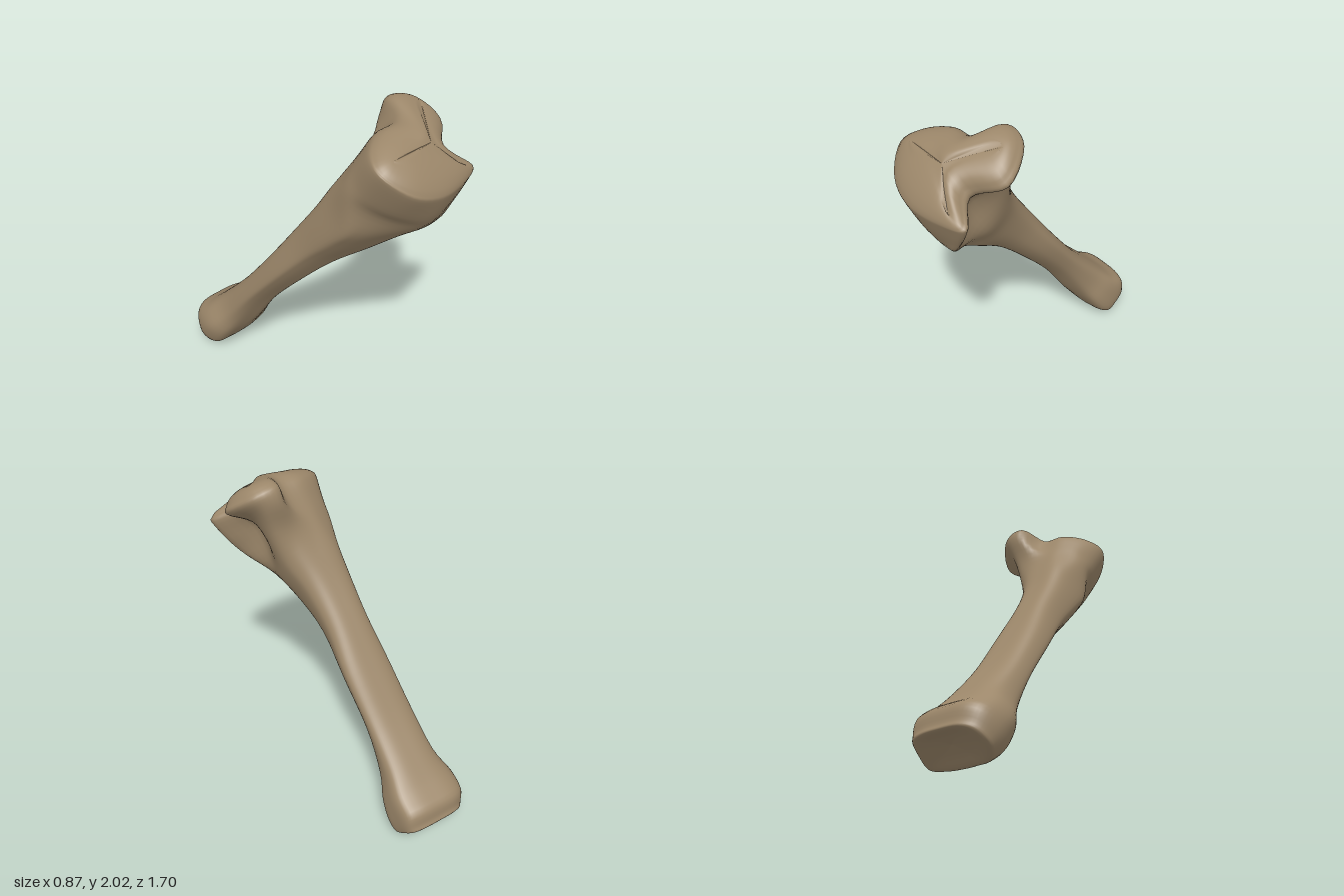
import * as THREE from 'three';

// Local frame of the leaning bone: s runs along the shaft, t from back to front
const toWorld = (x, t, s) => new THREE.Vector3(x, 0.77 * s - 0.64 * t, 0.64 * s + 0.77 * t);
const mix = THREE.MathUtils.lerp;

// Twelve-point shaft section: left, right, front and back limits, x of the front crest,
// and q from a wedge (0) to a box (1)
function shaftSection([s, L, R, F, B, c, q]) {
  const h = F - B, m = (F + B) / 2;
  return [
    [mix(c, R, 0.45), F - mix(0.13, 0.02, q) * h], [c, F],
    [mix(c, L, 0.35), F - mix(0.08, 0.01, q) * h],
    [mix(c, L, 0.8), F - mix(0.25, 0.07, q) * h],
    [L, m + 0.08 * h], [mix(L, R, 0.07), B + 0.2 * h],
    [mix(L, R, 0.25), B + 0.02 * h], [mix(L, R, 0.55), B],
    [mix(L, R, 0.8), B + 0.03 * h], [mix(L, R, 0.96), B + 0.15 * h],
    [R, B + mix(0.33, 0.5, q) * h],
    [mix(R, c, mix(0.18, 0.06, q)), F - mix(0.36, 0.13, q) * h],
  ].map(([x, t]) => [x, t, s]);
}

const SHAFT = [
  [-0.40, -0.41, 0.05, -0.50, -0.765, -0.17, 1],
  [-0.32, -0.43, 0.06, -0.487, -0.805, -0.18, 1],
  [-0.20, -0.425, 0.055, -0.49, -0.77, -0.18, 0.8],
  [-0.03, -0.36, 0.025, -0.50, -0.75, -0.16, 0.4],
  [0.25, -0.325, 0.02, -0.527, -0.733, -0.15, 0.1],
  [0.60, -0.29, 0.045, -0.513, -0.745, -0.12, 0],
  [0.90, -0.25, 0.05, -0.485, -0.767, -0.07, 0],
  [1.15, -0.24, 0.095, -0.43, -0.787, 0.01, 0],
  [1.34, -0.235, 0.17, -0.39, -0.815, 0.08, 0],
];

// Neck and flare as x, t; head rim and its ridge line as x, t, s.
// Order: crest hook, front, left, back, rear lobe, notch
const NECK = [
  [0.23, -0.38], [0.16, -0.345], [0.04, -0.37], [-0.12, -0.49], [-0.23, -0.63], [-0.21, -0.75],
  [-0.1, -0.83], [0, -0.85], [0.12, -0.87], [0.22, -0.85], [0.235, -0.75], [0.16, -0.57],
].map(([x, t]) => [x, t, 1.52]);
const FLARE = [
  [0.33, -0.43], [0.23, -0.375], [0.05, -0.365], [-0.13, -0.47], [-0.235, -0.63], [-0.2, -0.77],
  [-0.08, -0.85], [0.07, -0.88], [0.18, -0.99], [0.29, -0.95], [0.29, -0.77], [0.19, -0.6],
].map(([x, t]) => [x, t, 1.64]);
const HEAD = [
  [0.41, -0.485, 1.75], [0.27, -0.42, 1.77], [0.05, -0.4, 1.79], [-0.14, -0.475, 1.81],
  [-0.255, -0.645, 1.82], [-0.2, -0.78, 1.78], [-0.06, -0.87, 1.755], [0.1, -0.89, 1.75],
  [0.19, -1.03, 1.72], [0.34, -0.985, 1.705], [0.425, -0.78, 1.715], [0.28, -0.63, 1.735],
];
const RIDGE = [
  [0.29, -0.51, 1.82], [0.2, -0.58, 1.86], [0.07, -0.66, 1.885], [-0.05, -0.665, 1.89],
  [-0.13, -0.68, 1.88], [-0.05, -0.685, 1.885], [0.05, -0.7, 1.885], [0.14, -0.74, 1.885],
  [0.25, -0.88, 1.83], [0.3, -0.9, 1.81], [0.28, -0.86, 1.825], [0.165, -0.67, 1.87],
];

function boneSections() {
  const shaft = SHAFT.map(shaftSection);
  const foot = (k, s) =>
    shaft[0].map(([x, t]) => [mix(-0.175, x, k), mix(-0.645, t, k), s]);
  // Rounds the head rim over to the ridge line along an elliptical arc
  const dome = degrees => HEAD.map(([x, t, s], i) => {
    const a = THREE.MathUtils.degToRad(degrees), k = 1 - Math.cos(a);
    return [mix(x, RIDGE[i][0], k), mix(t, RIDGE[i][1], k), mix(s, RIDGE[i][2], Math.sin(a))];
  });
  return [
    foot(0, -0.41), foot(0.45, -0.418), foot(0.88, -0.432), // hollow lower joint face
    ...shaft, NECK, FLARE, HEAD,
    dome(25), dome(45), dome(62), dome(77), dome(90), // upper joint face
    HEAD.map(() => [0.13, -0.68, 1.88]),
  ];
}

// Smooth skin through all sections
function loft(sections, stepsAlong, stepsAround) {
  const rails = sections[0].map((_, i) =>
    new THREE.CatmullRomCurve3(sections.map(sec => toWorld(...sec[i])), false, 'catmullrom', 0.5));
  const rows = (sections.length - 1) * stepsAlong;
  const positions = [], index = [];
  for (let j = 0; j <= rows; j++) {
    const ring = new THREE.CatmullRomCurve3(
      rails.map(r => r.getPoint(j / rows)), true, 'catmullrom', 0.5);
    for (let i = 0; i < stepsAround; i++) {
      positions.push(...ring.getPoint(i / stepsAround).toArray());
      if (j === rows) continue;
      const a = j * stepsAround + i, b = j * stepsAround + (i + 1) % stepsAround;
      const c = a + stepsAround, d = b + stepsAround;
      if (j > 0) index.push(a, c, b);
      if (j < rows - 1) index.push(b, c, d);
    }
  }
  const geometry = new THREE.BufferGeometry();
  geometry.setAttribute('position', new THREE.Float32BufferAttribute(positions, 3));
  geometry.setIndex(index);
  geometry.computeVertexNormals();
  return geometry;
}

export function createModel() {
  const bone = new THREE.MeshStandardMaterial({ color: 0x9c876a });
  bone.name = 'bone';

  const geometry = loft(boneSections(), 4, 60);
  geometry.computeBoundingBox();
  geometry.translate(0, -geometry.boundingBox.min.y, 0); // rest on the ground

  const mesh = new THREE.Mesh(geometry, bone);
  mesh.name = 'legBone';
  const group = new THREE.Group();
  group.name = 'shinBone';
  group.add(mesh);
  return group;
}
